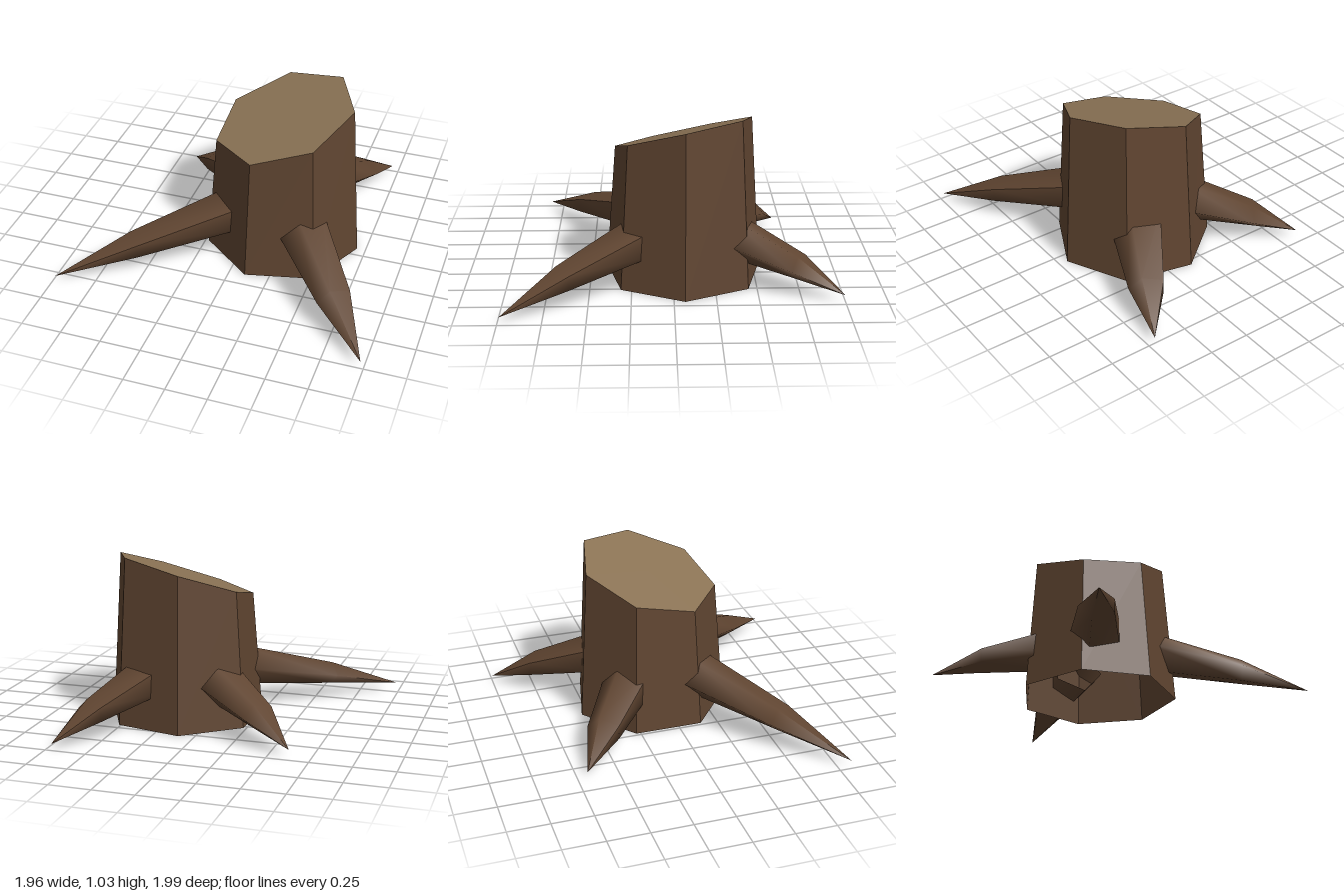
import * as THREE from 'three';

const CX = 0.208, CZ = -0.067; // trunk axis
const TOP_R = 0.426, BOTTOM_R = 0.487;

// sloping saw cut
const cutHeight = (x, z) => 0.795 + 0.253 * (x + 0.175) - 0.217 * (z + 0.065);

function flat(geometry) {
  const g = geometry.toNonIndexed();
  g.computeVertexNormals();
  return g;
}

// open seven-sided trunk whose upper rim follows the cut
function trunkGeometry() {
  const g = new THREE.CylinderGeometry(TOP_R, BOTTOM_R, 1, 7, 1, true, Math.PI / 2);
  g.translate(CX, 0.5, CZ);
  const p = g.attributes.position;
  for (let i = 0; i < p.count; i++) {
    if (p.getY(i) > 0.5) p.setY(i, cutHeight(p.getX(i), p.getZ(i)));
  }
  return flat(g);
}

function cutGeometry() {
  const g = new THREE.CircleGeometry(TOP_R, 7);
  g.rotateX(-Math.PI / 2);
  g.translate(CX, 0, CZ);
  const p = g.attributes.position;
  for (let i = 0; i < p.count; i++) p.setY(i, cutHeight(p.getX(i), p.getZ(i)));
  return flat(g);
}

// five-sided root: inner ring, middle ring and pointed tip along a radial line
function rootGeometry(tipX, tipZ, middle) {
  const dir = new THREE.Vector3(tipX - CX, 0, tipZ - CZ);
  const reach = dir.length();
  dir.normalize();
  const right = new THREE.Vector3().crossVectors(dir, new THREE.Vector3(0, 1, 0));
  const rings = [
    { along: 0.3, y: 0.3, wide: 0.17, high: 0.138 },
    { along: middle, y: 0.168, wide: 0.113, high: 0.073 },
    { along: reach, y: 0.04, wide: 0, high: 0 },
  ];
  const g = new THREE.CylinderGeometry(1, 1, 1, 5, 2, true);
  const p = g.attributes.position, uv = g.attributes.uv;
  const v = new THREE.Vector3();
  for (let i = 0; i < p.count; i++) {
    const ring = rings[Math.round(uv.getY(i) * 2)];
    const a = uv.getX(i) * Math.PI * 2 - 0.3 * Math.PI;
    v.set(CX, ring.y + Math.cos(a) * ring.high, CZ)
      .addScaledVector(dir, ring.along)
      .addScaledVector(right, Math.sin(a) * ring.wide);
    p.setXYZ(i, v.x, v.y, v.z);
  }
  g.computeVertexNormals();
  return g;
}

export function createModel() {
  const bark = new THREE.MeshStandardMaterial({ color: 0x604531, side: THREE.DoubleSide });
  bark.name = 'bark';
  const wood = new THREE.MeshStandardMaterial({ color: 0x8b7355, side: THREE.DoubleSide });
  wood.name = 'cutWood';

  const model = new THREE.Group();
  model.name = 'treeStump';
  const add = (name, geometry, material) => {
    const mesh = new THREE.Mesh(geometry, material);
    mesh.name = name;
    model.add(mesh);
  };

  add('trunk', trunkGeometry(), bark);
  add('cutTop', cutGeometry(), wood);

  // tip x, tip z, distance of the middle ring from the trunk axis
  const roots = {
    frontRightRoot: [-0.98, 0.83, 0.995],
    frontLeftRoot: [0.98, 0.99, 0.9],
    backLeftRoot: [0.71, -1.0, 0.766],
    backRightRoot: [-0.62, -0.69, 0.756],
  };
  for (const [name, spec] of Object.entries(roots)) add(name, rootGeometry(...spec), bark);

  return model;
}
